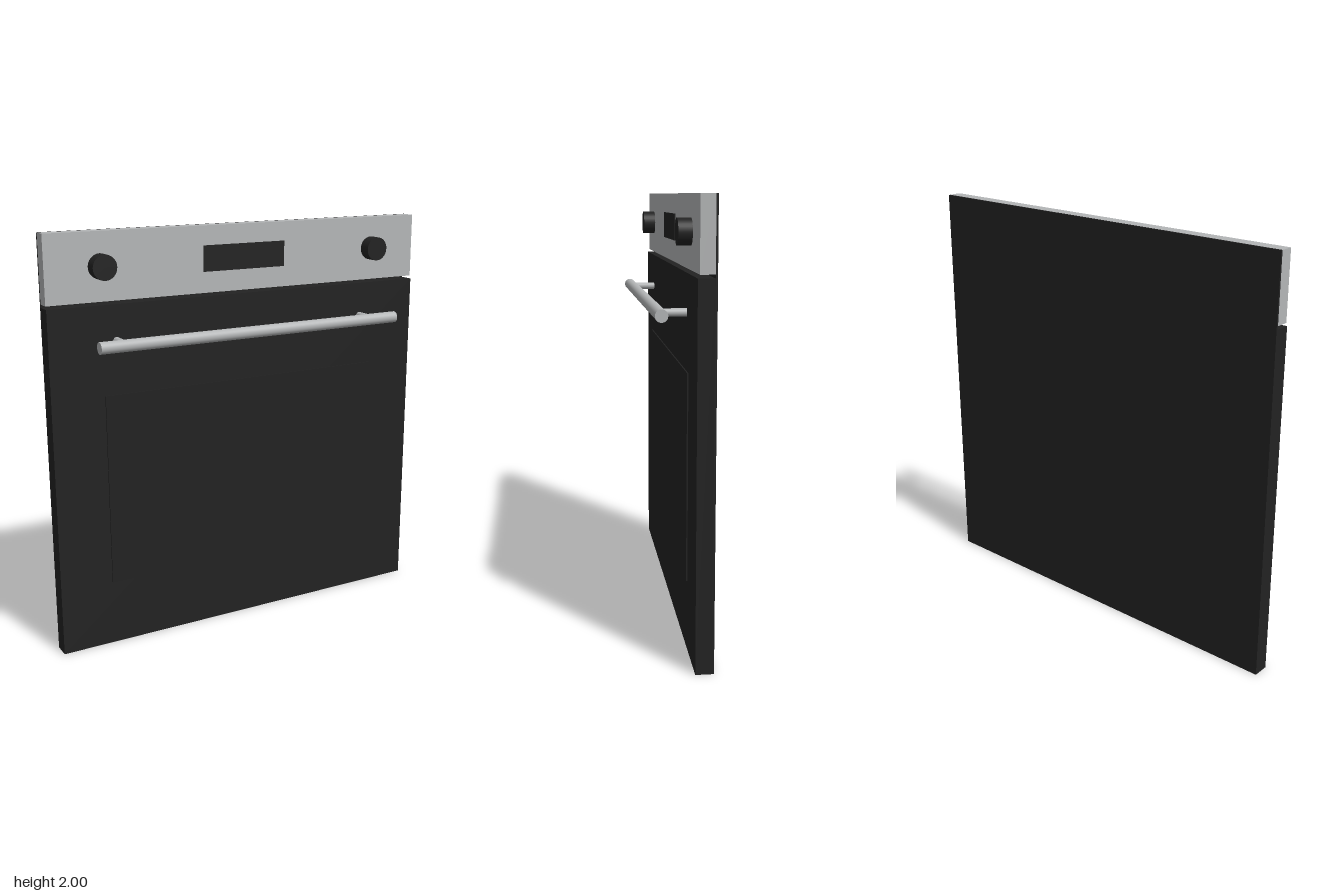
import * as THREE from 'three';

export function createModel() {
  const model = new THREE.Group();
  const black = new THREE.MeshStandardMaterial({ color: 0x222222 });
  black.name = 'black enamel';
  const steel = new THREE.MeshStandardMaterial({ color: 0xb4b6b7 });
  steel.name = 'brushed steel';

  function add(name, geometry, material, x, y, z) {
    const mesh = new THREE.Mesh(geometry, material);
    mesh.name = name;
    mesh.position.set(x, y, z);
    model.add(mesh);
  }
  // Box given by its extents in y and z, centred on x
  function slab(name, material, width, y0, y1, z0, z1) {
    add(name, new THREE.BoxGeometry(width, y1 - y0, z1 - z0), material, 0, (y0 + y1) / 2, (z0 + z1) / 2);
  }
  // Cylinder pointing along z
  function peg(name, material, radius, x, y, z0, z1) {
    const geometry = new THREE.CylinderGeometry(radius, radius, z1 - z0, 32).rotateX(Math.PI / 2);
    add(name, geometry, material, x, y, (z0 + z1) / 2);
  }

  // Body: back plate, control panel and door with a gap between them
  slab('backPlate', black, 2, 0, 2, -0.115, -0.106);
  slab('controlPanel', steel, 2, 1.685, 2, -0.106, -0.043);
  slab('door', black, 2, 0, 1.67, -0.106, -0.035);
  slab('doorWindow', black, 1.48, 0.32, 1.25, -0.035, -0.029);
  slab('display', black, 0.44, 1.785, 1.908, -0.043, -0.039);

  // Handle bar along x
  const bar = new THREE.CylinderGeometry(0.028, 0.028, 1.614, 32).rotateZ(Math.PI / 2);
  add('handleBar', bar, steel, 0, 1.502, 0.087);

  // Knobs and handle posts on both sides
  for (const [side, s] of [['left', 1], ['right', -1]]) {
    peg(side + 'Knob', black, 0.058, s * 0.738, 1.844, -0.043, 0.017);
    peg(side + 'HandlePost', steel, 0.018, s * 0.674, 1.502, -0.035, 0.087);
  }
  return model;
}
